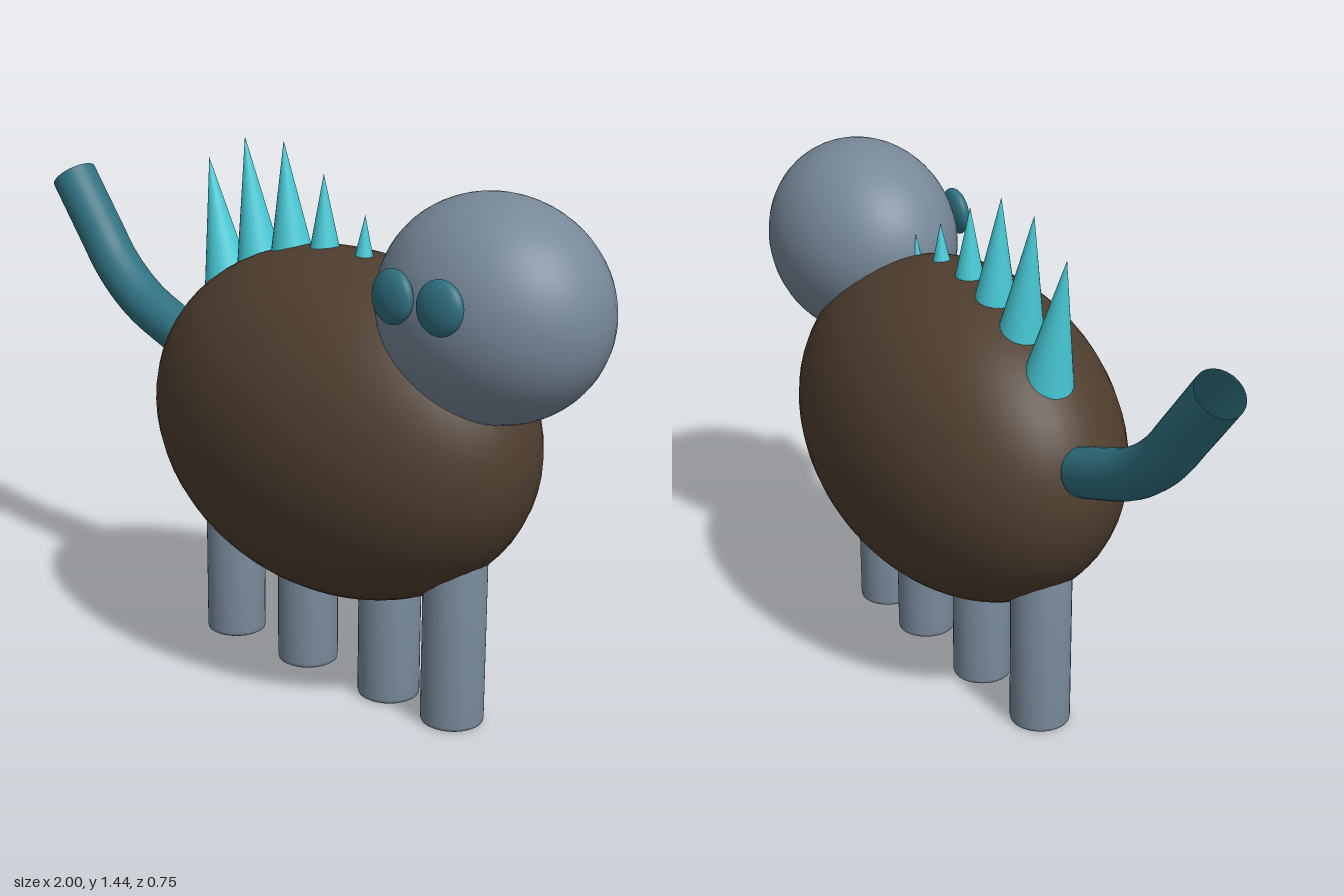
import * as THREE from 'three';

const paint = (color, side = THREE.FrontSide) => new THREE.MeshStandardMaterial({ color, side });

function ellipsoid(name, material, center, radii) {
  const mesh = new THREE.Mesh(new THREE.SphereGeometry(1, 48, 32), material);
  mesh.name = name;
  mesh.position.set(...center);
  mesh.scale.set(...radii);
  return mesh;
}

// Cone from a tip down to a point on the back, sunk a little into the body
function spike(material, tipX, tipY, footX, footY, radius) {
  const sink = 1.15;
  const tip = new THREE.Vector3(tipX, tipY, 0);
  const base = new THREE.Vector3(footX, footY, 0).sub(tip).multiplyScalar(sink).add(tip);
  const axis = tip.clone().sub(base);
  const mesh = new THREE.Mesh(new THREE.ConeGeometry(radius * sink, axis.length(), 24), material);
  mesh.name = 'backSpike';
  mesh.position.copy(tip).add(base).multiplyScalar(0.5);
  mesh.quaternion.setFromUnitVectors(new THREE.Vector3(0, 1, 0), axis.normalize());
  return mesh;
}

export function createModel() {
  const model = new THREE.Group();
  model.name = 'spikedCreature';
  const brown = paint(0x4f3e2f);
  const slate = paint(0x778899);
  const teal = paint(0x2f7080, THREE.DoubleSide);
  const cyan = paint(0x48cbd8);

  // Body and head
  model.add(ellipsoid('body', brown, [0.17, 0.72, 0], [0.615, 0.465, 0.375]));
  model.add(ellipsoid('head', slate, [0.685, 1.123, 0], [0.315, 0.282, 0.256]));

  // Eyes, both on the front side of the head
  for (const [x, turn] of [[0.59, -0.1], [0.74, 0.06]]) {
    const eye = ellipsoid('eye', teal, [x, 1.18, 0.256], [0.067, 0.067, 0.029]);
    eye.rotation.set(-0.08, turn, 0);
    model.add(eye);
  }

  // Four legs in a single row, with softened lower rims
  const legProfile = [[0, 0], [0.076, 0], [0.081, 0.003], [0.083, 0.012], [0.083, 0.55], [0, 0.55]]
    .map(([r, y]) => new THREE.Vector2(r, y));
  const legGeometry = new THREE.LatheGeometry(legProfile, 32);
  for (const x of [-0.25, 0.045, 0.355, 0.583]) {
    const leg = new THREE.Mesh(legGeometry, slate);
    leg.name = 'leg';
    leg.position.x = x;
    model.add(leg);
  }

  // Row of spikes along the back: tip x, tip y, foot x, foot y, radius
  const spikes = [
    [-0.345, 1.355, -0.275, 1.04, 0.062],
    [-0.2, 1.43, -0.145, 1.105, 0.06],
    [-0.05, 1.437, -0.02, 1.155, 0.054],
    [0.1, 1.37, 0.105, 1.18, 0.038],
    [0.25, 1.285, 0.247, 1.185, 0.022],
    [0.382, 1.215, 0.378, 1.15, 0.012],
  ];
  for (const s of spikes) model.add(spike(cyan, ...s));

  // Curved, open-ended tail
  const tailPath = new THREE.CatmullRomCurve3([
    [-0.43, 0.818], [-0.64, 0.9], [-0.755, 0.985], [-0.835, 1.08], [-0.95, 1.222],
  ].map(([x, y]) => new THREE.Vector3(x, y, 0)));
  const tail = new THREE.Mesh(new THREE.TubeGeometry(tailPath, 24, 0.066, 24), teal);
  tail.name = 'tail';
  model.add(tail);

  return model;
}
